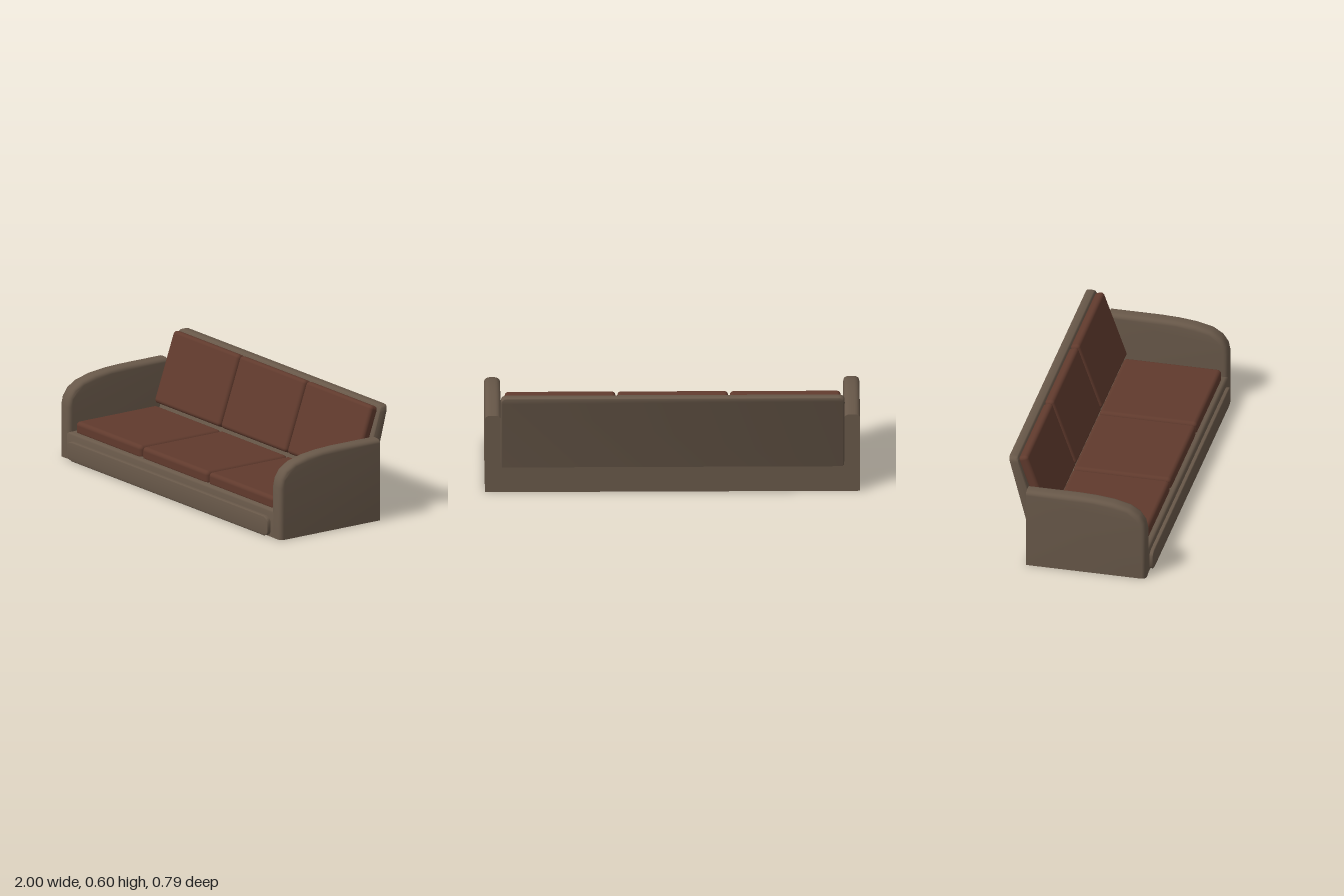
import * as THREE from 'three';
import { toCreasedNormals } from 'three/addons/utils/BufferGeometryUtils.js';
import { RoundedBoxGeometry } from 'three/addons/geometries/RoundedBoxGeometry.js';

const fabric = new THREE.MeshStandardMaterial({ color: 0x685849 });
const leather = new THREE.MeshStandardMaterial({ color: 0x603a2d });

const shapeOf = (points) => new THREE.Shape(points.map(([x, y]) => new THREE.Vector2(x, y)));

// Bevelled extrusion that fills 0..depth and keeps the shape's outline
function bevelled(shape, depth, thickness, size, segments = 4) {
  const geometry = new THREE.ExtrudeGeometry(shape, {
    depth: depth - 2 * thickness, bevelThickness: thickness,
    bevelSize: size, bevelOffset: -size, bevelSegments: segments, curveSegments: 6,
  });
  return geometry.translate(0, 0, thickness);
}

// Moves every vertex by a rule
function reshape(geometry, rule) {
  const p = geometry.attributes.position;
  const v = new THREE.Vector3();
  for (let i = 0; i < p.count; i++) {
    rule(v.fromBufferAttribute(p, i));
    p.setXYZ(i, v.x, v.y, v.z);
  }
  return geometry;
}

function addMesh(group, name, geometry, material) {
  const mesh = new THREE.Mesh(geometry, material);
  mesh.name = name;
  group.add(mesh);
  return mesh;
}

// Side profile (z, y) of an arm, rounded over the top; bottom and back are cut flat
function armGeometry() {
  const profile = shapeOf([
    [0.378, -0.04], [0.378, 0.285], [0.367, 0.335], [0.338, 0.378], [0.282, 0.413],
    [0.195, 0.435], [0.095, 0.446], [0, 0.45], [-0.32, 0.45], [-0.32, -0.04],
  ]);
  const geometry = bevelled(profile, 0.085, 0.028, 0.022);
  reshape(geometry, (v) => {
    v.x = Math.max(v.x, -0.278);
    v.y = Math.max(v.y, 0);
  });
  geometry.rotateY(-Math.PI / 2).translate(0.0425, 0, 0);
  return toCreasedNormals(geometry, 0.7);
}

// Upright slab with round top corners, leaned and tapered into a wedge
function backrestGeometry() {
  const w = 0.917, top = 0.604, r = 0.035, depth = 0.05;
  const outline = new THREE.Shape();
  outline.moveTo(-w, 0.11);
  outline.lineTo(w, 0.11);
  outline.lineTo(w, top - r);
  outline.quadraticCurveTo(w, top, w - r, top);
  outline.lineTo(-w + r, top);
  outline.quadraticCurveTo(-w, top, -w, top - r);
  const geometry = bevelled(outline, depth, 0.01, 0.01);
  reshape(geometry, (v) => {
    v.y = Math.max(v.y, 0.145);
    const rear = -0.278 - 0.255 * (v.y - 0.145);
    const front = -0.205 - 0.31 * (v.y - 0.15);
    v.z = THREE.MathUtils.lerp(rear, front, v.z / depth);
  });
  return toCreasedNormals(geometry, 0.7);
}

export function createModel() {
  const sofa = new THREE.Group();
  sofa.name = 'sofa';

  // Base with a softened front edge
  const baseProfile = shapeOf([
    [-0.278, 0], [0.376, 0], [0.376, 0.137], [0.372, 0.146], [0.362, 0.15], [-0.278, 0.15],
  ]);
  const base = new THREE.ExtrudeGeometry(baseProfile, { depth: 1.9, bevelEnabled: false });
  base.rotateY(-Math.PI / 2).translate(0.95, 0, 0);
  addMesh(sofa, 'base', toCreasedNormals(base, 0.9), fabric);

  // Raised panel along the bottom of the front
  const panelOutline = shapeOf([
    [-0.87, 0.001], [0.87, 0.001], [0.895, 0.009], [0.905, 0.024], [0.905, 0.088], [0.895, 0.102],
    [0.87, 0.11], [-0.87, 0.11], [-0.895, 0.102], [-0.905, 0.088], [-0.905, 0.024], [-0.895, 0.009],
  ]);
  const panel = bevelled(panelOutline, 0.03, 0.005, 0.005, 3).translate(0, 0, 0.366);
  addMesh(sofa, 'frontPanel', toCreasedNormals(panel, 0.7), fabric);

  // Arms
  const arm = armGeometry();
  for (const [name, side] of [['leftArm', 1], ['rightArm', -1]]) {
    addMesh(sofa, name, arm, fabric).position.x = side * 0.9575;
  }

  addMesh(sofa, 'backrest', backrestGeometry(), fabric);

  // Three seat cushions and three leaning back cushions
  const seat = new RoundedBoxGeometry(0.592, 0.075, 0.535, 4, 0.022);
  const back = new RoundedBoxGeometry(0.59, 0.4, 0.055, 4, 0.02);
  ['right', 'middle', 'left'].forEach((place, i) => {
    const x = (i - 1) * 0.6;
    addMesh(sofa, place + 'SeatCushion', seat, leather).position.set(x, 0.173, 0.082);
    const cushion = addMesh(sofa, place + 'BackCushion', back, leather);
    cushion.position.set(x, 0.411, -0.256);
    cushion.rotation.x = -0.34;
  });

  return sofa;
}
